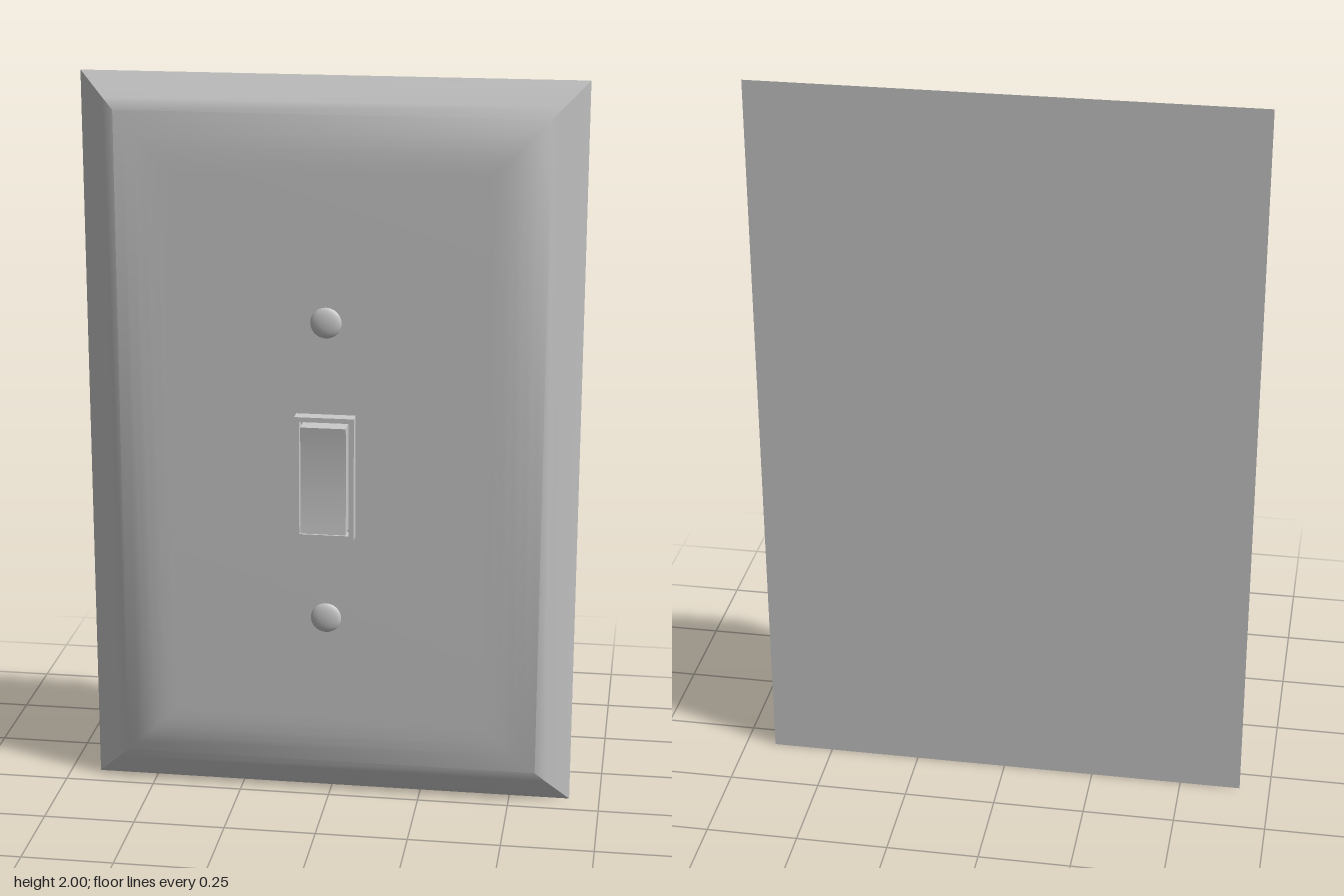
import * as THREE from 'three';
import { toCreasedNormals } from 'three/addons/utils/BufferGeometryUtils.js';

const material = new THREE.MeshStandardMaterial({ color: 0xcccccc });
const CX = -0.005; // the switch and screws share this centre line
const CY = 0.94;

function addMesh(parent, name, geometry, x = 0, y = 0, z = 0) {
  const mesh = new THREE.Mesh(geometry, material);
  mesh.name = name;
  mesh.position.set(x, y, z);
  parent.add(mesh);
  return mesh;
}

// Wall plate: nested rectangles following a rounded bevel, closed front and back
function plateGeometry(halfW, halfH) {
  const bevel = [ // inset from the rim, z
    [0, -0.07], [0.065, -0.031], [0.095, -0.016], [0.125, -0.004],
    [0.155, 0.005], [0.185, 0.01], [0.215, 0.0125], [0.245, 0.013],
  ];
  const positions = [];
  const indices = [];
  for (const [inset, z] of bevel) {
    const w = halfW - inset, h = halfH - inset;
    positions.push(-w, -h, z, w, -h, z, w, h, z, -w, h, z);
  }
  for (let i = 0; i < bevel.length - 1; i++) {
    for (let k = 0; k < 4; k++) {
      const a = i * 4 + k, b = i * 4 + (k + 1) % 4;
      indices.push(a, b, b + 4, a, b + 4, a + 4);
    }
  }
  const f = (bevel.length - 1) * 4;
  indices.push(f, f + 1, f + 2, f, f + 2, f + 3); // front face
  indices.push(0, 2, 1, 0, 3, 2); // back face
  const geometry = new THREE.BufferGeometry();
  geometry.setAttribute('position', new THREE.Float32BufferAttribute(positions, 3));
  geometry.setIndex(indices);
  return toCreasedNormals(geometry, 0.6);
}

// Rectangular collar around the rocker
function collarGeometry(halfW, halfH, wall, depth) {
  const rectangle = (Type, w, h) => new Type([
    new THREE.Vector2(-w, -h), new THREE.Vector2(w, -h),
    new THREE.Vector2(w, h), new THREE.Vector2(-w, h),
  ]);
  const shape = rectangle(THREE.Shape, halfW, halfH);
  shape.holes.push(rectangle(THREE.Path, halfW - wall, halfH - wall));
  return new THREE.ExtrudeGeometry(shape, { depth, bevelEnabled: false });
}

// Rocker: a block whose front face is gently hollowed along its height
function rockerGeometry(width, height, depth, hollow) {
  const geometry = new THREE.BoxGeometry(width, height, depth, 1, 16, 1);
  const p = geometry.attributes.position;
  for (let i = 0; i < p.count; i++) {
    if (p.getZ(i) > 0) {
      const t = p.getY(i) / (height / 2);
      p.setZ(i, depth / 2 - hollow * (1 - t * t));
    }
  }
  return toCreasedNormals(geometry, 0.6);
}

// Screw head: a low dome turned about its axis, facing forward
function screwGeometry(radius, height) {
  const profile = [new THREE.Vector2(radius, -0.01)];
  for (let i = 0; i <= 8; i++) {
    const a = (i / 8) * Math.PI / 2;
    profile.push(new THREE.Vector2(
      i === 8 ? 0 : radius * Math.cos(a), height * Math.sin(a)));
  }
  return new THREE.LatheGeometry(profile, 32).rotateX(Math.PI / 2);
}

export function createModel() {
  const model = new THREE.Group();
  model.name = 'lightSwitch';

  addMesh(model, 'wallPlate', plateGeometry(0.667, 1), 0, 1, 0);

  const toggle = new THREE.Group();
  toggle.name = 'switch';
  toggle.position.set(CX, CY, 0);
  model.add(toggle);
  addMesh(toggle, 'collar', collarGeometry(0.08, 0.17, 0.013, 0.05), 0, 0, 0);
  addMesh(toggle, 'rocker', rockerGeometry(0.122, 0.296, 0.07, 0.009), 0, 0, 0.035);

  for (const [name, y] of [['upperScrew', 1.36], ['lowerScrew', 0.533]]) {
    addMesh(model, name, screwGeometry(0.042, 0.014), CX, y, 0.012);
  }
  return model;
}
